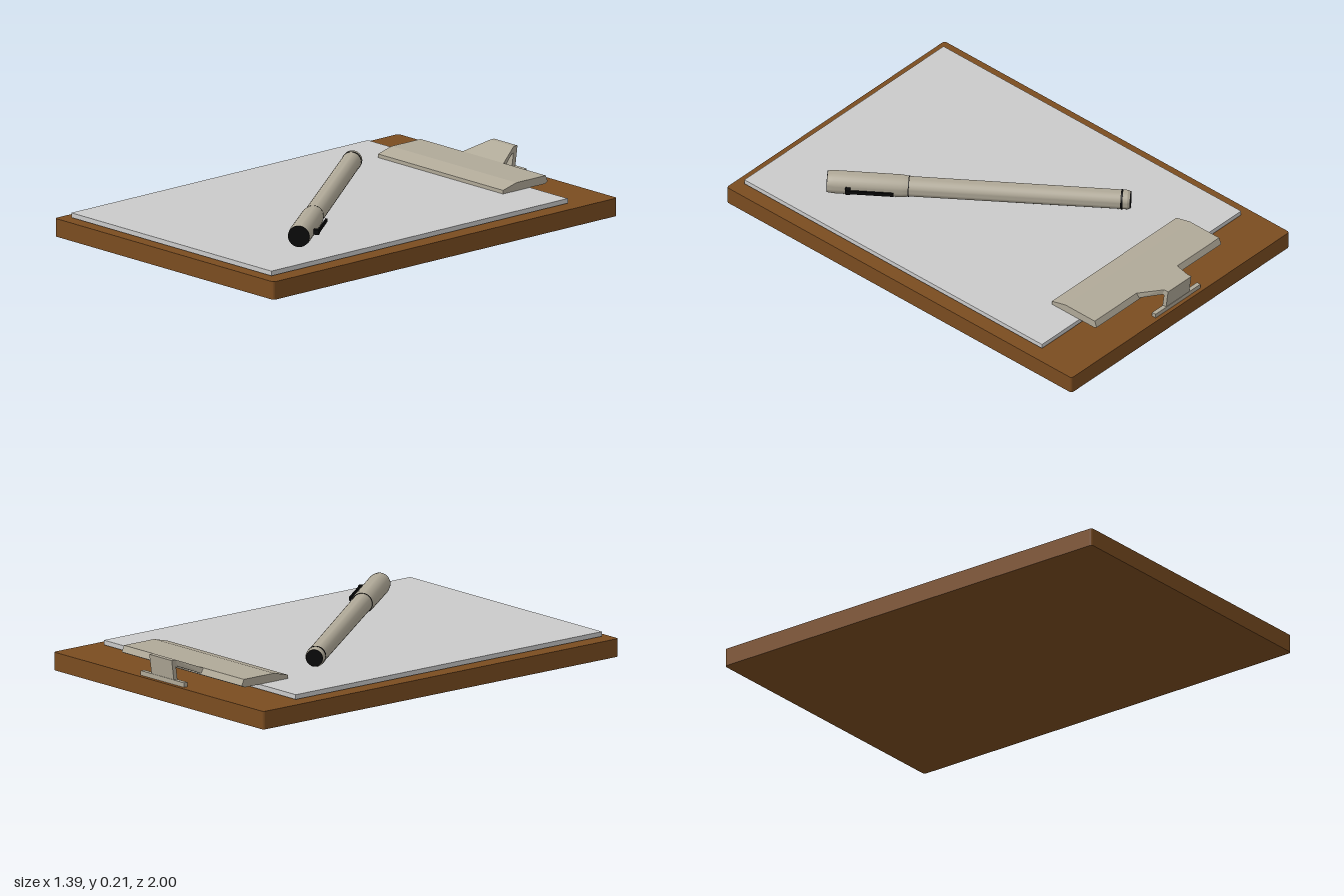
import * as THREE from 'three';
import { toCreasedNormals } from 'three/addons/utils/BufferGeometryUtils.js';

const material = (name, color) => {
  const m = new THREE.MeshStandardMaterial({ color });
  m.name = name;
  return m;
};

export function createModel() {
  const wood = material('wood', 0x7a4c20);
  const paperGrey = material('paper', 0xcacaca);
  const metal = material('warm metal', 0xb0a998);
  const black = material('black', 0x080808);

  const model = new THREE.Group();
  model.name = 'clipboard';
  const add = (parent, name, geometry, mat, x = 0, y = 0, z = 0) => {
    const mesh = new THREE.Mesh(geometry, mat);
    mesh.name = name;
    mesh.position.set(x, y, z);
    parent.add(mesh);
    return mesh;
  };

  // Board with slightly rounded upright corners
  const w = 0.695, d = 1, r = 0.012;
  const outline = new THREE.Shape();
  outline.absarc(w - r, d - r, r, 0, Math.PI / 2);
  outline.absarc(-w + r, d - r, r, Math.PI / 2, Math.PI);
  outline.absarc(-w + r, -d + r, r, Math.PI, Math.PI * 1.5);
  outline.absarc(w - r, -d + r, r, Math.PI * 1.5, Math.PI * 2);
  const boardGeometry = new THREE.ExtrudeGeometry(outline, { depth: 0.08, bevelEnabled: false, curveSegments: 3 });
  boardGeometry.rotateX(-Math.PI / 2);
  add(model, 'board', boardGeometry, wood);

  // Stack of paper
  add(model, 'paperStack', new THREE.BoxGeometry(1.27, 0.021, 1.725), paperGrey, -0.004, 0.0965, 0.092);

  // Clip: side profiles given as [distance towards the back, height]
  const clip = new THREE.Group();
  clip.name = 'clip';
  model.add(clip);
  const profileBar = (points, halfWidth) => {
    const shape = new THREE.Shape(points.map(([u, y]) => new THREE.Vector2(u, y)));
    const g = new THREE.ExtrudeGeometry(shape, { depth: 2, bevelEnabled: false });
    g.translate(0, 0, -1).rotateY(Math.PI / 2);
    const p = g.attributes.position;
    for (let i = 0; i < p.count; i++) p.setX(i, p.getX(i) * halfWidth(-p.getZ(i)));
    g.computeVertexNormals();
    return g;
  };
  add(clip, 'clipJaw', profileBar(
    [[0.612, 0.108], [0.855, 0.108], [0.872, 0.116], [0.86, 0.144], [0.69, 0.144], [0.612, 0.124]],
    () => 0.397), metal, -0.004);
  add(clip, 'clipTongue', profileBar(
    [[0.86, 0.116], [0.96, 0.157], [0.968, 0.157], [0.957, 0.08], [0.977, 0.08],
      [0.992, 0.187], [0.97, 0.187], [0.86, 0.144]],
    (u) => THREE.MathUtils.mapLinear(Math.min(u, 0.957), 0.86, 0.957, 0.13, 0.074)), metal, -0.004);
  add(clip, 'clipFoot', new THREE.BoxGeometry(0.286, 0.02, 0.02), metal, -0.004, 0.09, -0.972);

  // Pen, built along its own y axis from the tail to the cap end
  const pen = new THREE.Group();
  pen.name = 'pen';
  model.add(pen);
  const tail = new THREE.Vector3(-0.335, 0.153, -0.407);
  const tip = new THREE.Vector3(0.455, 0.165, 0.634);
  const length = tail.distanceTo(tip);
  const along = tip.clone().sub(tail).normalize();
  const side = new THREE.Vector3(along.z, 0, -along.x).normalize();
  pen.quaternion.setFromRotationMatrix(
    new THREE.Matrix4().makeBasis(side, along, side.clone().cross(along)));
  pen.position.copy(tail);

  const turned = (points) => toCreasedNormals(
    new THREE.LatheGeometry(points.map(([x, y]) => new THREE.Vector2(x, y)), 32), 0.4);
  const L = length, seam = L - 0.352;
  add(pen, 'penBarrel', turned([[0, 0.002], [0.037, 0.002], [0.042, 0.012], [0.042, 0.1], [0.044, seam], [0, seam]]), metal);
  add(pen, 'penCap', turned([[0, seam], [0.045, seam], [0.049, seam + 0.03], [0.05, L - 0.03], [0.047, L - 0.003], [0, L - 0.003]]), metal);
  add(pen, 'tailDisc', new THREE.CylinderGeometry(0.037, 0.037, 0.004, 32), black, 0, 0.001, 0);
  add(pen, 'capDisc', new THREE.CylinderGeometry(0.047, 0.047, 0.004, 32), black, 0, L - 0.002, 0);
  add(pen, 'tailRing', new THREE.CylinderGeometry(0.0432, 0.0432, 0.009, 32), black, 0, 0.037, 0);
  add(pen, 'seamRing', new THREE.CylinderGeometry(0.0458, 0.0458, 0.004, 32), black, 0, seam, 0);

  // Pocket clip standing off the side of the cap
  add(pen, 'pocketClip', new THREE.BoxGeometry(0.008, 0.205, 0.016), black, 0.068, L - 0.188, 0);
  add(pen, 'pocketClipStem', new THREE.BoxGeometry(0.028, 0.022, 0.022), black, 0.059, L - 0.093, 0);

  return model;
}
